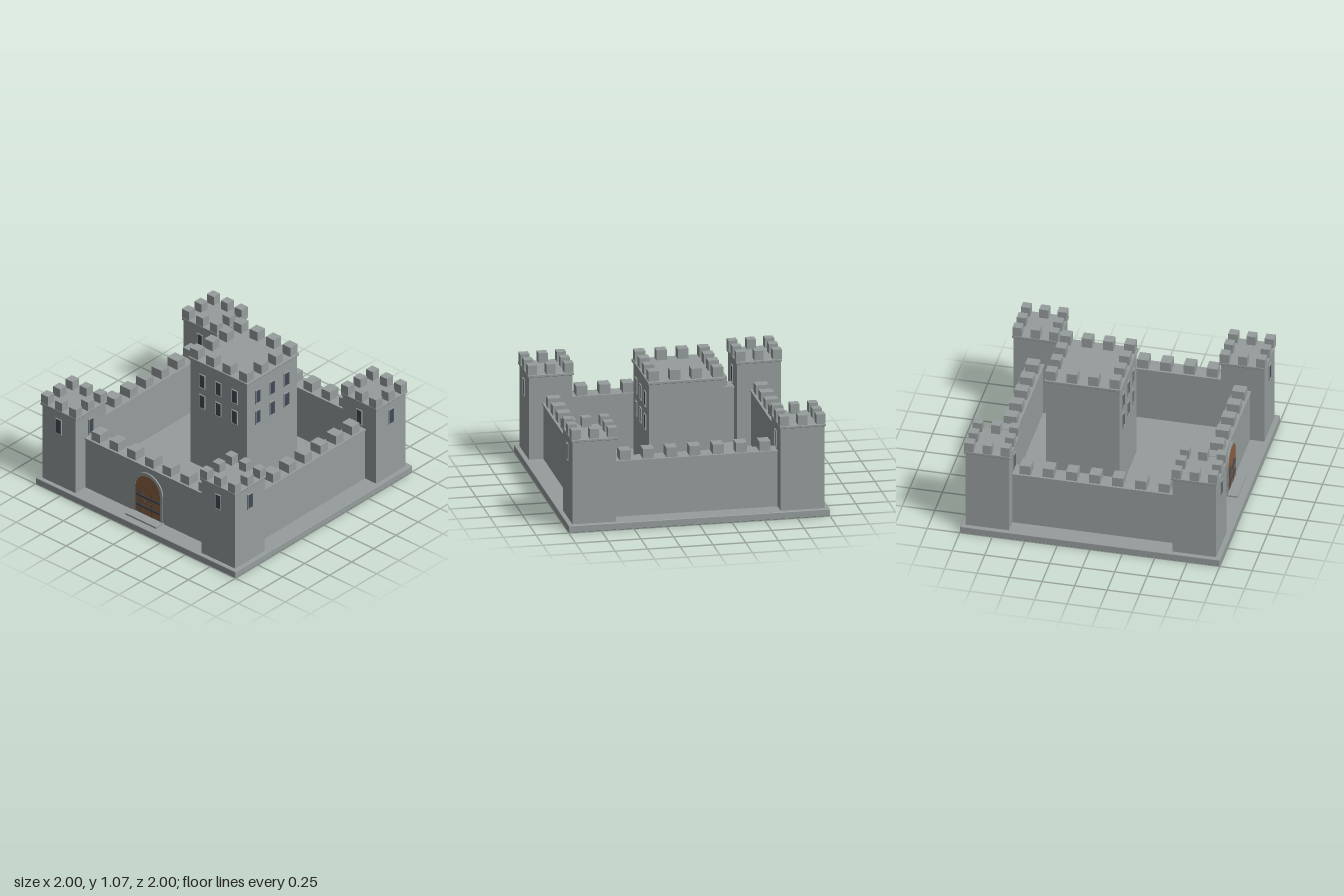
import * as THREE from 'three';
import { RoundedBoxGeometry } from 'three/addons/geometries/RoundedBoxGeometry.js';

const paint = (name, color) => {
  const m = new THREE.MeshStandardMaterial({ color });
  m.name = name;
  return m;
};
const stone = paint('stone', 0x969c9c);
const wood = paint('wood', 0x8a6040);
const iron = paint('iron', 0x3d4754);
const glass = paint('darkGlass', 0x414957);

function add(parent, name, geometry, material, x = 0, y = 0, z = 0) {
  const mesh = new THREE.Mesh(geometry, material);
  mesh.name = name;
  mesh.position.set(x, y, z);
  parent.add(mesh);
  return mesh;
}

// Box given by its bottom and top heights
const block = (parent, name, w, d, y0, y1, x = 0, z = 0, mat = stone) =>
  add(parent, name, new THREE.BoxGeometry(w, y1 - y0, d), mat, x, (y0 + y1) / 2, z);

// Slab with slightly softened edges
const slab = (parent, name, w, d, y0, y1, x = 0, z = 0) =>
  add(parent, name, new RoundedBoxGeometry(w, y1 - y0, d, 1, 0.005), stone, x, (y0 + y1) / 2, z);

function makeGroup(parent, name, x = 0, z = 0) {
  const g = new THREE.Group();
  g.name = name;
  g.position.set(x, 0, z);
  parent.add(g);
  return g;
}

// Merlons around the rim of a square roof, n per side
function crown(parent, n, step, size, y0, y1) {
  for (let i = 0; i < n; i++) {
    for (let j = 0; j < n; j++) {
      if (i % (n - 1) && j % (n - 1)) continue;
      block(parent, 'merlon', size, size, y0, y1, (i - (n - 1) / 2) * step, (j - (n - 1) / 2) * step);
    }
  }
}

// Window facing +z: pane with a slim frame
function addWindow(parent, x, y, z, w, h) {
  const win = makeGroup(parent, 'window', x, z);
  win.position.y = y;
  add(win, 'pane', new THREE.BoxGeometry(w, h, 0.006), glass, 0, 0, 0.002);
  for (const s of [-1, 1]) {
    add(win, 'jamb', new THREE.BoxGeometry(0.006, h + 0.006, 0.01), stone, s * (w / 2 + 0.003), 0, 0.004);
    add(win, 'lintel', new THREE.BoxGeometry(w + 0.012, 0.006, 0.01), stone, 0, s * (h / 2 + 0.003), 0.004);
  }
}

// Runs the window builder on the +z and the +x faces
function onTwoFaces(parent, build) {
  for (const angle of [0, Math.PI / 2]) {
    const face = makeGroup(parent, 'windowFace');
    face.rotation.y = angle;
    build(face);
  }
}

function tower(parent, x, z) {
  const g = makeGroup(parent, 'cornerTower', x, z);
  block(g, 'towerBody', 0.335, 0.335, 0.05, 0.705);
  slab(g, 'towerCap', 0.355, 0.355, 0.7, 0.722);
  crown(g, 3, 0.14, 0.07, 0.72, 0.797);
  onTwoFaces(g, (f) => addWindow(f, 0, 0.577, 0.1675, 0.048, 0.12));
}

function wall(parent, name, angle) {
  const g = makeGroup(parent, name);
  g.rotation.y = angle;
  block(g, 'wallBody', 1.3, 0.115, 0.05, 0.485, 0, 0.795);
  block(g, 'wallCap', 1.27, 0.135, 0.483, 0.495, 0, 0.795);
  for (let i = -3; i <= 3; i++) block(g, 'merlon', 0.085, 0.1, 0.49, 0.57, i * 0.178, 0.795);
}

function keep(parent) {
  const g = makeGroup(parent, 'keep', 0, -0.222);
  block(g, 'keepBody', 0.566, 0.566, 0.05, 0.968);
  slab(g, 'keepCap', 0.59, 0.59, 0.963, 0.987);
  crown(g, 4, 0.164, 0.08, 0.985, 1.066);
  onTwoFaces(g, (f) => {
    for (const x of [-0.162, 0, 0.162]) {
      for (const y of [0.635, 0.815]) addWindow(f, x, y, 0.283, 0.048, 0.108);
    }
  });
}

// Round-headed outline
function archPath(path, r, y0, spring) {
  path.moveTo(-r, y0);
  path.lineTo(r, y0);
  path.lineTo(r, spring);
  path.absarc(0, spring, r, 0, Math.PI, false);
  path.lineTo(-r, y0);
  return path;
}

function gate(parent) {
  const g = makeGroup(parent, 'gate', 0, 0.85);
  const extrude = (shape, depth) =>
    new THREE.ExtrudeGeometry(shape, { depth, bevelEnabled: false, curveSegments: 24 });
  const surround = archPath(new THREE.Shape(), 0.147, 0.055, 0.294);
  surround.holes.push(archPath(new THREE.Path(), 0.122, 0.06, 0.29));
  add(g, 'archSurround', extrude(surround, 0.013), stone);
  add(g, 'door', extrude(archPath(new THREE.Shape(), 0.122, 0.06, 0.29), 0.01), wood);
  for (const y of [0.134, 0.223]) {
    add(g, 'ironBand', new THREE.BoxGeometry(0.24, 0.015, 0.008), iron, 0, y, 0.012);
  }
  for (const x of [-0.083, -0.042, 0.042, 0.083]) {
    add(g, 'plankSeam', new THREE.BoxGeometry(0.004, 0.21, 0.004), iron, x, 0.175, 0.01);
  }
  for (const x of [-0.03, 0.03]) {
    add(g, 'doorKnob', new THREE.SphereGeometry(0.008, 12, 8), iron, x, 0.184, 0.014);
  }
  block(g, 'doorStep', 0.306, 0.09, 0.05, 0.068, 0, 0.045);
}

export function createModel() {
  const castle = new THREE.Group();
  castle.name = 'castle';
  slab(castle, 'base', 2, 2, 0, 0.055);
  for (const x of [-0.797, 0.797]) for (const z of [-0.797, 0.797]) tower(castle, x, z);
  ['frontWall', 'leftWall', 'backWall', 'rightWall'].forEach((n, i) => wall(castle, n, (i * Math.PI) / 2));
  keep(castle);
  gate(castle);
  return castle;
}
